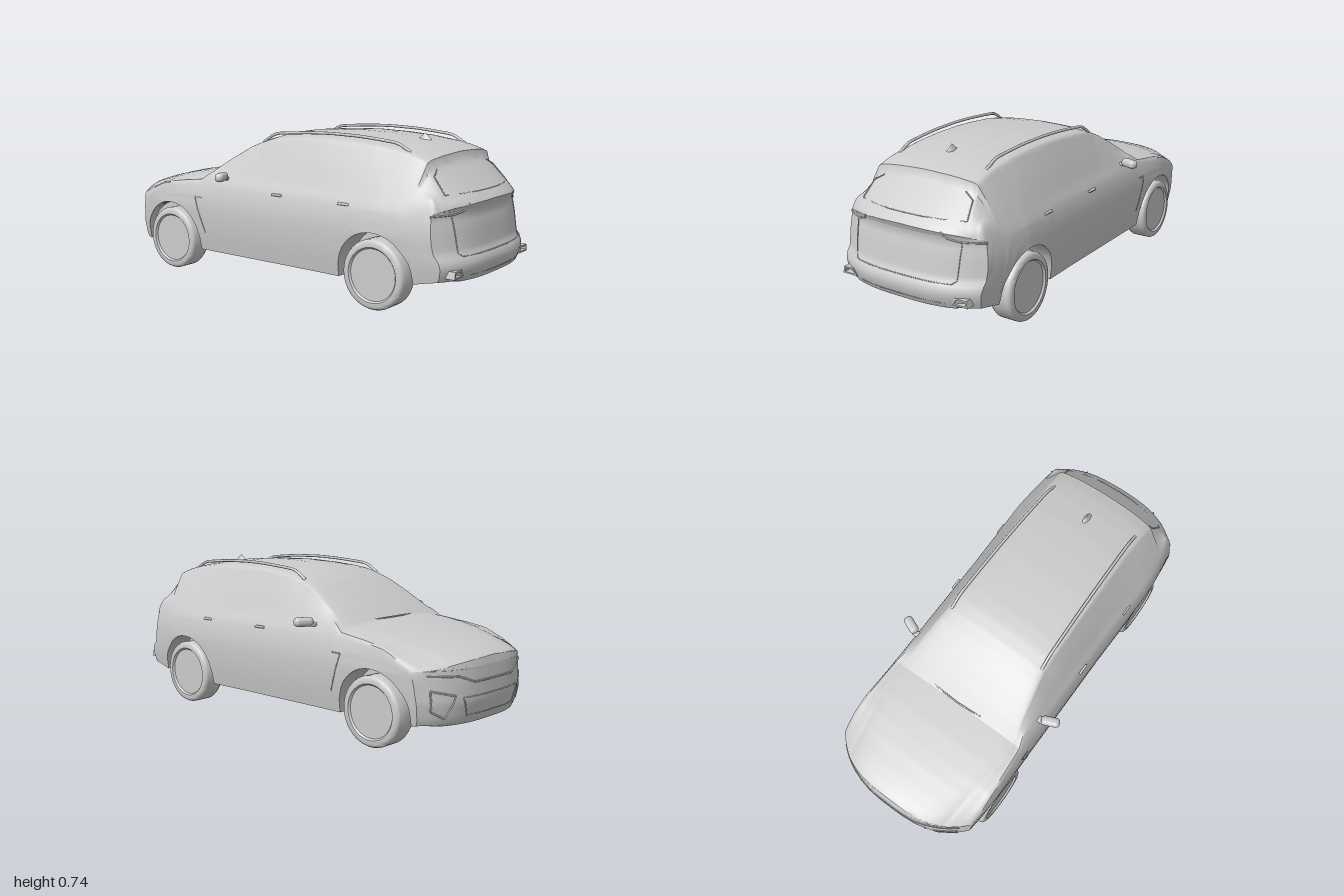
import * as THREE from 'three';
import { mergeGeometries, toCreasedNormals } from 'three/addons/utils/BufferGeometryUtils.js';
import { RoundedBoxGeometry } from 'three/addons/geometries/RoundedBoxGeometry.js';

const V = (x, y, z) => new THREE.Vector3(x, y, z);

// Piecewise-linear lookup in [[position, value], ...]
function at(table, p) {
  if (p <= table[0][0]) return table[0][1];
  for (let i = 1; i < table.length; i++) {
    const [a, va] = table[i - 1], [b, vb] = table[i];
    if (p <= b) return va + (vb - va) * (p - a) / (b - a);
  }
  return table[table.length - 1][1];
}

// Body curves; the nose points to -z
const TOP = [[-1, .395], [-.96, .415], [-.9, .433], [-.8, .455], [-.6, .485], [-.45, .5], [-.38, .55], [-.29, .608],
  [-.2, .66], [-.135, .688], [-.07, .706], [0, .716], [.12, .725], [.25, .73], [.4, .727], [.52, .719], [.65, .702],
  [.74, .684], [.803, .667], [.816, .625], [1, .48]];
const WIDTH = [[-1, .38], [-.85, .393], [-.65, .4], [-.4, .396], [.2, .397], [.6, .405], [.75, .396], [.9, .386], [1, .377]];
const ROOF_X = [[-1, .28], [-.5, .33], [-.42, .315], [-.13, .267], [.6, .255], [.8, .26], [1, .3]];
const CROWN = [[-1, .03], [-.45, .02], [-.13, .025], [.8, .025], [1, .02]];
const SIDE = [[.11, .93], [.2, .97], [.27, .99], [.34, 1], [.4, .983], [.44, .96], [.5, .89]];
const REAR = [[.15, .97], [.185, .988], [.23, 1], [.26, .988], [.28, .972], [.38, .957], [.43, .946], [.455, .95], [.48, .962]];
const NOSE = [[.11, .035], [.15, .015], [.22, 0], [.3, .003], [.36, .008], [.4, .018], [.45, .05]];
const FLOOR = [[-1, .122], [-.93, .112], [.7, .112], [.8, .13], [1, .16]];
const WHEELS = [-.64, .59], WHEEL_R = .155, ARCH_R = .187;

// Bow the ends in plan and in profile
function bodyZ(s, x, y) {
  const t = Math.max(0, (Math.abs(s) - .7) / .3), x3 = Math.abs(x) ** 3;
  return s > 0 ? s + t * (at(REAR, y) - 1 - 1.8 * x3) : s + t * (at(NOSE, y) + 2.6 * x3);
}

// Half cross-section from top centre to bottom centre
function halfSection(s) {
  const T = at(TOP, s), w = at(WIDTH, s), rx = at(ROOF_X, s), c = at(CROWN, s), floor = at(FLOOR, s);
  const sideZ = bodyZ(s, w, .25);
  let sill = floor + .006;
  for (const wz of WHEELS) {
    const d = Math.abs(sideZ - wz);
    if (d < ARCH_R) sill = Math.max(sill, WHEEL_R + Math.sqrt(ARCH_R ** 2 - d * d));
  }
  const belt = Math.min(.5, T - c - .015), bx = w * at(SIDE, belt), sh = belt - .055;
  const pts = [[0, T], [.5 * rx, T - .2 * c], [.85 * rx, T - .6 * c], [rx, T - c]];
  for (const f of [.12, .55]) pts.push([rx + (bx - rx) * f + .004, T - c + (belt - T + c) * f]);
  pts.push([bx, belt]);
  for (const f of [1, .75, .5, .25, 0]) {
    const y = sill + (sh - sill) * f;
    pts.push([w * at(SIDE, y), y]);
  }
  const out = new THREE.SplineCurve(pts.map(p => new THREE.Vector2(...p))).getPoints(33);
  out[0].x = 0;
  for (const p of [[.27, sill], [.27, floor], [0, floor]]) out.push(new THREE.Vector2(...p));
  return out;
}

// Grid surface; normal is du x dv
function grid(nu, nv, fn) {
  const pos = [], idx = [];
  for (let u = 0; u <= nu; u++) for (let v = 0; v <= nv; v++) pos.push(...fn(u, v));
  for (let u = 0; u < nu; u++) for (let v = 0; v < nv; v++) {
    const a = u * (nv + 1) + v, b = a + nv + 1;
    idx.push(a, b, b + 1, a, b + 1, a + 1);
  }
  const g = new THREE.BufferGeometry();
  g.setAttribute('position', new THREE.Float32BufferAttribute(pos, 3));
  g.setIndex(idx);
  return g;
}

function bodyGeometry() {
  const st = [.803, .816, -.135, -.45];
  for (let i = 0; i <= 110; i++) st.push(-1 + i / 55);
  for (const w of WHEELS) for (const d of [-1, 1]) st.push(w + d * (ARCH_R + .002), w + d * (ARCH_R - .002));
  st.sort((a, b) => a - b);
  const half = st.map(halfSection), n = half[0].length - 1;
  const skin = grid(st.length - 1, 2 * n, (i, j) => {
    const p = half[i][j <= n ? j : 2 * n - j], x = j <= n ? p.x : -p.x;
    return [x, p.y, bodyZ(st[i], x, p.y)];
  });
  const cap = (sec, s, row, col) => {
    const p = sec[row], x = p.x * (1 - col / 10);
    return [x, p.y, bodyZ(s, x, p.y)];
  };
  const rear = grid(20, n, (u, v) => cap(half[st.length - 1], 1, v, u));
  const nose = grid(n, 20, (u, v) => cap(half[0], -1, u, v));
  return toCreasedNormals(mergeGeometries([skin, rear, nose]), .6);
}

export function createModel() {
  const car = new THREE.Group();
  const mat = new THREE.MeshStandardMaterial({ color: 0xcccccc });
  const add = (name, geo, x = 0, y = 0, z = 0) => {
    const m = new THREE.Mesh(geo, mat);
    m.name = name;
    m.position.set(x, y, z);
    car.add(m);
    return m;
  };
  // Thin trim line through points
  const seam = (name, pts, r = .0025) => {
    const path = new THREE.CurvePath();
    for (let i = 1; i < pts.length; i++) path.add(new THREE.LineCurve3(pts[i - 1], pts[i]));
    add(name, new THREE.TubeGeometry(path, pts.length * 5, r, 5));
  };
  // Subdivide a 2D outline and project it onto a surface
  const project = (outline, fn) => {
    const out = [];
    for (let i = 1; i < outline.length; i++) for (let k = i > 1 ? 1 : 0; k <= 6; k++) {
      const [a, b] = [outline[i - 1], outline[i]];
      out.push(fn(a[0] + (b[0] - a[0]) * k / 6, a[1] + (b[1] - a[1]) * k / 6));
    }
    return out;
  };
  const onRear = (x, y) => V(x, y, bodyZ(1, x, y));
  const onNose = (x, y) => V(x, y, bodyZ(-1, x, y));
  const onGlass = (x, y) => {
    const t = (.625 - y - .02 * (x / .29) ** 2) / .145;
    return V(x, y, bodyZ(.816 + .184 * t, x, y));
  };
  const onSide = m => (z, y) => V(m * (at(WIDTH, z) * at(SIDE, y) + .0005), y, z);

  add('body', bodyGeometry());

  // Tailgate, rear window and bumper lines
  seam('tailgateSeam', project([[-.28, .43], [-.272, .28], [-.255, .266], [.255, .266], [.272, .28], [.28, .43]], onRear));
  seam('rearWindowSeam', project([[-.22, .61], [-.265, .585], [-.28, .515], [.28, .515], [.265, .585], [.22, .61]], onGlass));
  seam('rearBumperSeam', project([[-.3, .182], [.3, .182]], onRear));

  // Nose lines: grille edge and lower intake
  seam('grilleEdge', project([[-.34, .335], [-.22, .33], [-.14, .3], [.14, .3], [.22, .33], [.34, .335]], onNose), .004);
  seam('lowerIntakeEdge', project([[-.2, .24], [-.17, .16], [.17, .16], [.2, .24], [-.2, .24]], onNose), .003);

  // Cowl strip at the foot of the windscreen
  seam('cowlStrip', [-1, -.75, -.5, -.25, 0, .25, .5, .75, 1].map(f => V(.31 * f, .503 - .004 * f * f, -.448 + .055 * f * f)), .004);

  // Shark fin aerial
  const fin = add('aerialFin', new THREE.ConeGeometry(.036, .03, 20), 0, .721, .605);
  fin.scale.x = .4;

  // Tyre profile, revolved about the axle
  const tyre = new THREE.LatheGeometry([[0, -.046], [.115, -.046], [.122, -.055], [.14, -.055], [.15, -.05], [.155, -.04],
    [.155, .04], [.15, .05], [.14, .055], [.122, .055], [.115, .046], [0, .046]].map(p => new THREE.Vector2(...p)), 48);
  tyre.rotateZ(Math.PI / 2);
  const tyreGeo = toCreasedNormals(tyre, .7);

  // Exhaust trim frame
  const frame = new THREE.Shape([[-.04, -.016], [.04, -.016], [.033, .016], [-.025, .016]].map(p => new THREE.Vector2(...p)));
  frame.holes.push(new THREE.Path([[-.03, -.009], [-.02, .009], [.026, .009], [.031, -.009]].map(p => new THREE.Vector2(...p))));
  const exhaust = new THREE.ExtrudeGeometry(frame, { depth: .05, bevelEnabled: false });

  for (const m of [1, -1]) {
    const side = m > 0 ? 'left' : 'right';
    WHEELS.forEach((z, i) => add(side + (i ? 'RearWheel' : 'FrontWheel'), tyreGeo, m * .34, WHEEL_R, z));

    // Door mirror and stalk
    const mirror = add(side + 'Mirror', new RoundedBoxGeometry(.09, .042, .045, 4, .019), m * .411, .503, -.268);
    mirror.rotation.y = m * -.4;
    add(side + 'MirrorStalk', new RoundedBoxGeometry(.06, .016, .03, 2, .006), m * .358, .489, -.285);

    // Roof rail
    const rail = [];
    for (let i = 0; i <= 12; i++) {
      const z = -.13 + i * .0675, lift = (i === 0 || i === 12) ? -.022 : .001;
      rail.push(V(m * (.257 - .022 * i / 12), at(TOP, z) + lift, z));
    }
    add(side + 'RoofRail', new THREE.TubeGeometry(new THREE.CatmullRomCurve3(rail), 40, .007, 8));

    // Exhaust, tail lamp, corner intake
    const ex = add(side + 'Exhaust', exhaust, m * .3, .199, .91);
    if (m < 0) ex.rotation.y = Math.PI, ex.position.z = .96;
    seam(side + 'TailLamp', project([[m * .2, .478], [m * .22, .45], [m * .27, .438], [m * .37, .436]], onRear), .004);
    seam(side + 'CornerIntake', project([[m * .235, .25], [m * .33, .275], [m * .325, .19], [m * .27, .155], [m * .235, .25]], onNose), .004);

    // Door handles and fender vent line
    for (const z of [.05, .43]) add(side + 'DoorHandle', new RoundedBoxGeometry(.012, .012, .06, 2, .005), m * .383, .445, z);
    seam(side + 'FenderVent', project([[-.41, .21], [-.47, .385], [-.42, .385]], onSide(m)));
  }

  // Slats under the engine bay
  for (let i = 0; i < 6; i++) {
    add('undertraySlat', new THREE.BoxGeometry(.03, .024, .34), -.19 + i * .076, .104, -.64);
  }
  add('undertray', new THREE.BoxGeometry(.42, .012, .36), 0, .108, -.64);
  return car;
}
